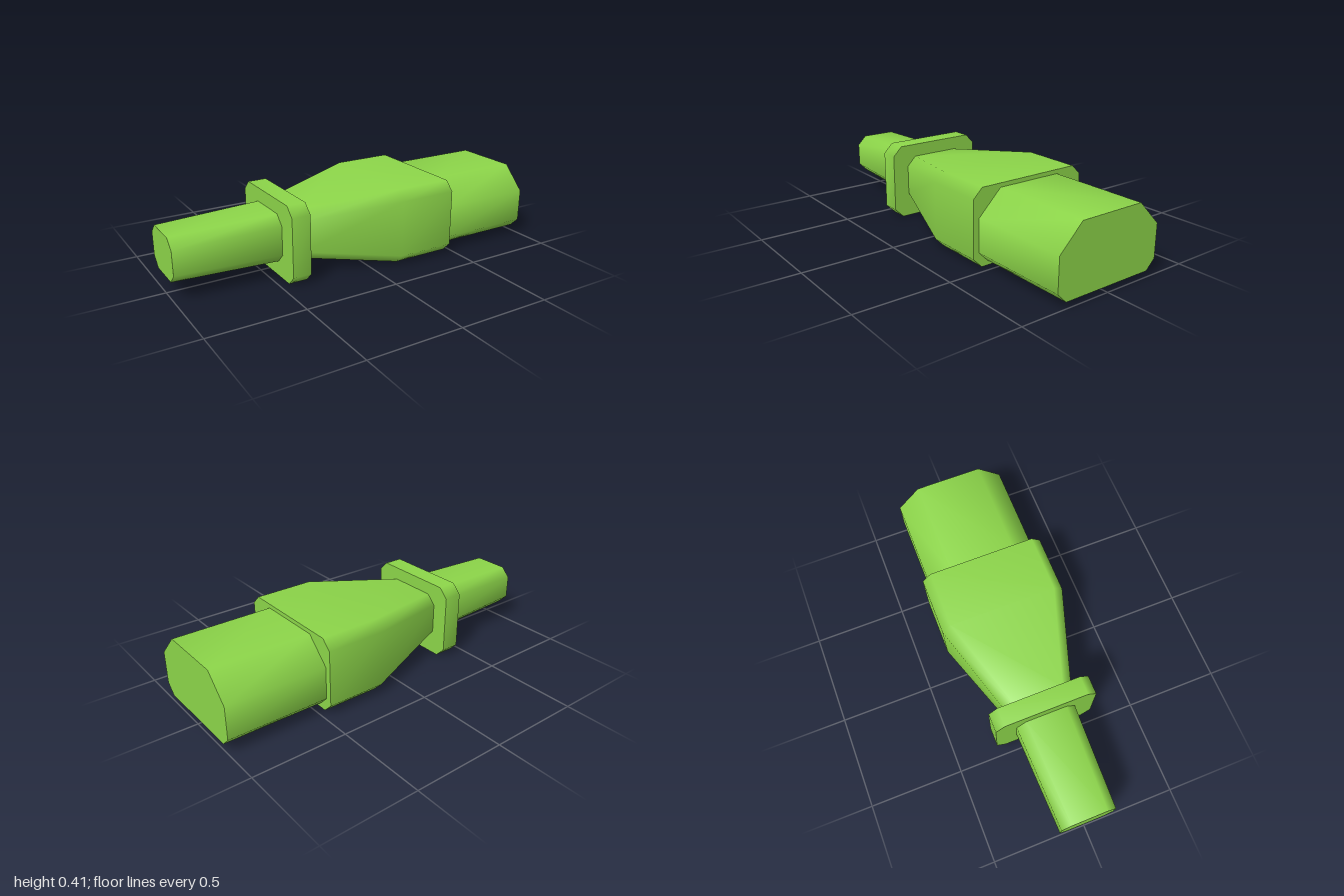
import * as THREE from 'three';

// Eight-cornered outline (chamfered rectangle), counterclockwise seen from +x
function outline({ x, half, bottom, top, topCut = 0.05, bottomCut = 0.05 }) {
  const side = [
    [top, half - topCut], [top - topCut, half],
    [bottom + bottomCut, half], [bottom, half - bottomCut],
  ];
  const mirrored = side.map(([y, z]) => [y, -z]).reverse();
  return [...side, ...mirrored].map(([y, z]) => [x, y, z]);
}

// Smooth skin through the outlines, with sharp-edged flat caps
function loft(sections) {
  const rings = sections.map(outline);
  const n = rings[0].length;
  const positions = rings.flat(2);
  const index = [];
  for (let i = 0; i < rings.length - 1; i++) {
    for (let j = 0; j < n; j++) {
      const k = (j + 1) % n;
      const a = i * n + j, b = i * n + k;
      index.push(a, b, a + n, b, b + n, a + n);
    }
  }
  // Caps have their own corners so their edges stay crisp
  [rings[0], rings[rings.length - 1]].forEach((ring, end) => {
    const base = positions.length / 3;
    positions.push(...ring.flat());
    for (let j = 1; j < n - 1; j++) {
      if (end === 0) index.push(base, base + j + 1, base + j);
      else index.push(base, base + j, base + j + 1);
    }
  });
  const geometry = new THREE.BufferGeometry();
  geometry.setAttribute('position', new THREE.Float32BufferAttribute(positions, 3));
  geometry.setIndex(index);
  geometry.computeVertexNormals();
  return geometry;
}

export function createModel() {
  const group = new THREE.Group();
  group.name = 'cableConnector';
  const green = new THREE.MeshStandardMaterial({ color: 0x8cd549 });
  green.name = 'green';

  const add = (name, sections) => {
    const mesh = new THREE.Mesh(loft(sections), green);
    mesh.name = name;
    group.add(mesh);
  };

  // Cable sleeve, tapering toward its free end
  add('cableSleeve', [
    { x: -1, half: 0.145, bottom: 0.095, top: 0.32 },
    { x: -0.45, half: 0.16, bottom: 0.08, top: 0.335 },
  ]);

  // Raised collar
  add('collar', [
    { x: -0.45, half: 0.272, bottom: 0, top: 0.41 },
    { x: -0.35, half: 0.272, bottom: 0, top: 0.41 },
  ]);

  // Grip body, flaring out from the collar
  add('gripBody', [
    { x: -0.35, half: 0.182, bottom: 0.083, top: 0.341 },
    { x: 0.15, half: 0.339, bottom: 0.006, top: 0.405 },
    { x: 0.465, half: 0.339, bottom: 0.006, top: 0.405 },
  ]);

  // Plug with the large top chamfers
  const plug = { half: 0.306, bottom: 0.032, top: 0.383, topCut: 0.126 };
  add('plug', [{ x: 0.465, ...plug }, { x: 1, ...plug }]);

  return group;
}
